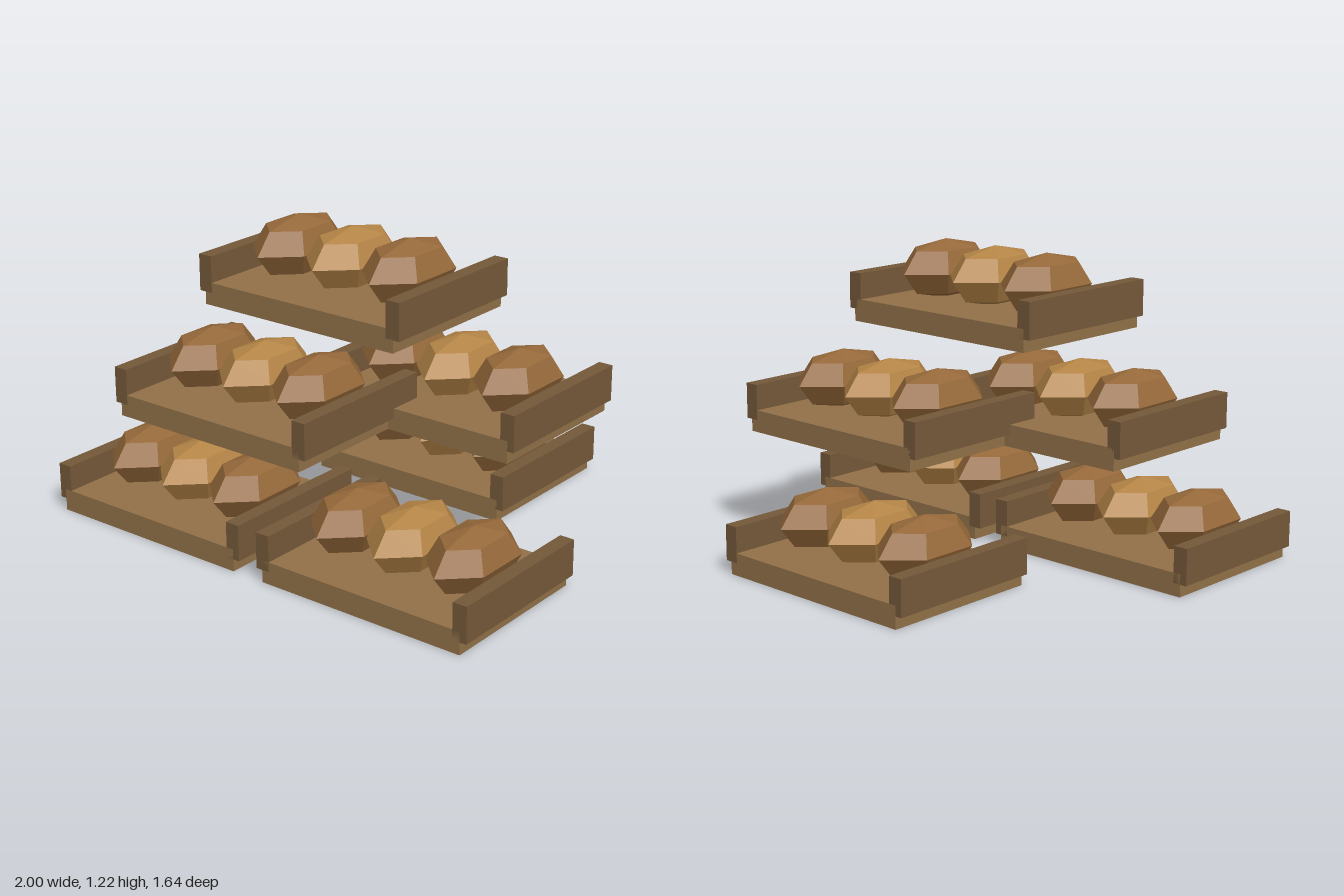
import * as THREE from 'three';

const mat = (color, flatShading = false) => new THREE.MeshStandardMaterial({ color, flatShading });

export function createModel() {
  const model = new THREE.Group();
  model.name = 'stackedLoafTrays';

  const baseMat = mat(0x927148);
  const sideMat = mat(0x75593a);
  const crustMat = mat(0x96693a, true);
  const goldenMat = mat(0xb58546, true);

  const baseGeo = new THREE.BoxGeometry(0.9, 0.09, 0.67);
  const sideGeo = new THREE.BoxGeometry(0.06, 0.145, 0.67);
  // Six-sided faceted loaf, long along z
  const loafGeo = new THREE.SphereGeometry(1, 6, 4);
  loafGeo.rotateY(Math.PI / 2).scale(0.148, 0.12, 0.24);

  const add = (parent, name, geo, material, x, y) => {
    const mesh = new THREE.Mesh(geo, material);
    mesh.name = name;
    mesh.position.set(x, y, 0);
    parent.add(mesh);
  };

  // One open-ended tray with two side rails and three loaves
  const addTray = (name, x, y, z) => {
    const tray = new THREE.Group();
    tray.name = name;
    tray.position.set(x, y, z);
    add(tray, 'trayBase', baseGeo, baseMat, 0, 0.045);
    add(tray, 'leftRail', sideGeo, sideMat, 0.448, 0.1225);
    add(tray, 'rightRail', sideGeo, sideMat, -0.448, 0.1225);
    for (const i of [-1, 0, 1]) {
      add(tray, 'loaf', loafGeo, i === 0 ? goldenMat : crustMat, i * 0.267, 0.195);
    }
    model.add(tray);
  };

  // Three trays below, two in the middle, one on top
  addTray('bottomTrayRight', -0.522, 0, 0.485);
  addTray('bottomTrayLeft', 0.522, 0, 0.485);
  addTray('bottomTrayBack', 0, 0, -0.485);
  addTray('middleTrayFront', -0.256, 0.45, 0.41);
  addTray('middleTrayBack', 0.294, 0.45, -0.115);
  addTray('topTray', 0, 0.9, 0.187);

  return model;
}
